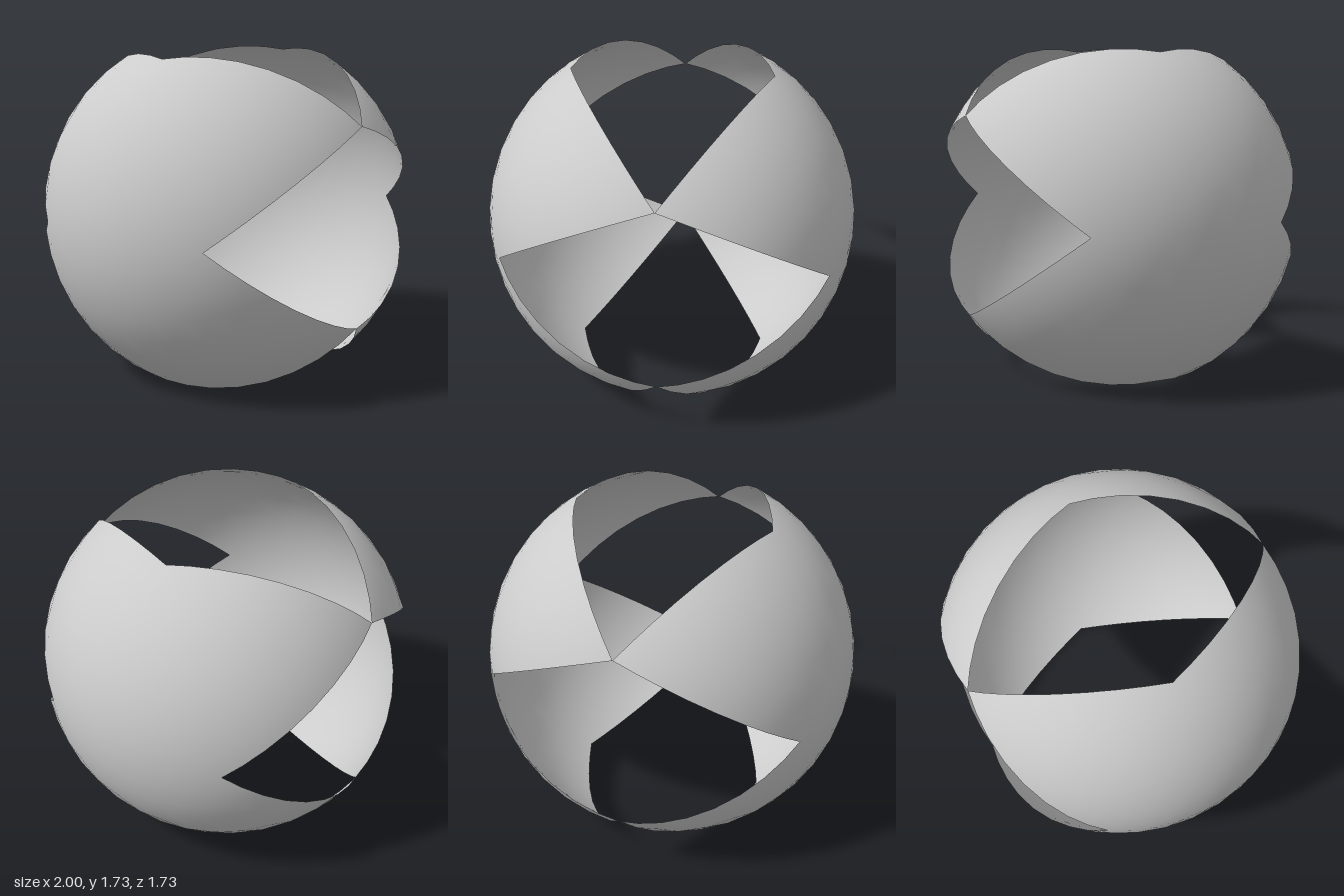
import * as THREE from 'three';
import { mergeVertices } from 'three/addons/utils/BufferGeometryUtils.js';

const DETAIL = 7; // each icosahedron face becomes (DETAIL + 1)^2 triangles
const CENTRE_Y = 0.866; // half the height, set by the peaks of the curved rims

// One half of the sphere: the six curved icosahedron faces on the given side of x.
// Faces centred on x = 0 (top, bottom) or y = 0 (front, back) are left open.
function shellGeometry(side) {
  const sphere = new THREE.IcosahedronGeometry(1, DETAIL);
  const source = sphere.attributes.position;
  const perFace = 3 * (DETAIL + 1) ** 2;
  const positions = [];
  const p = new THREE.Vector3();

  for (let start = 0; start < source.count; start += perFace) {
    const centre = new THREE.Vector3();
    for (let i = start; i < start + perFace; i++) {
      centre.add(p.fromBufferAttribute(source, i));
    }
    centre.divideScalar(perFace);
    if (centre.x * side < 0.05 || Math.abs(centre.y) < 0.05) continue;
    for (let i = start; i < start + perFace; i++) {
      positions.push(source.getX(i), source.getY(i), source.getZ(i));
    }
  }

  const geometry = new THREE.BufferGeometry();
  geometry.setAttribute('position', new THREE.Float32BufferAttribute(positions, 3));
  // On a unit sphere the normal equals the position
  geometry.setAttribute('normal', new THREE.Float32BufferAttribute(positions, 3));
  return mergeVertices(geometry);
}

export function createModel() {
  const model = new THREE.Group();
  model.name = 'openSphere';
  const material = new THREE.MeshStandardMaterial({ color: 0xcccccc, side: THREE.DoubleSide });

  // Two thin shells that touch only at four points
  for (const [name, side] of [['leftShell', 1], ['rightShell', -1]]) {
    const shell = new THREE.Mesh(shellGeometry(side), material);
    shell.name = name;
    shell.position.y = CENTRE_Y;
    model.add(shell);
  }
  return model;
}
